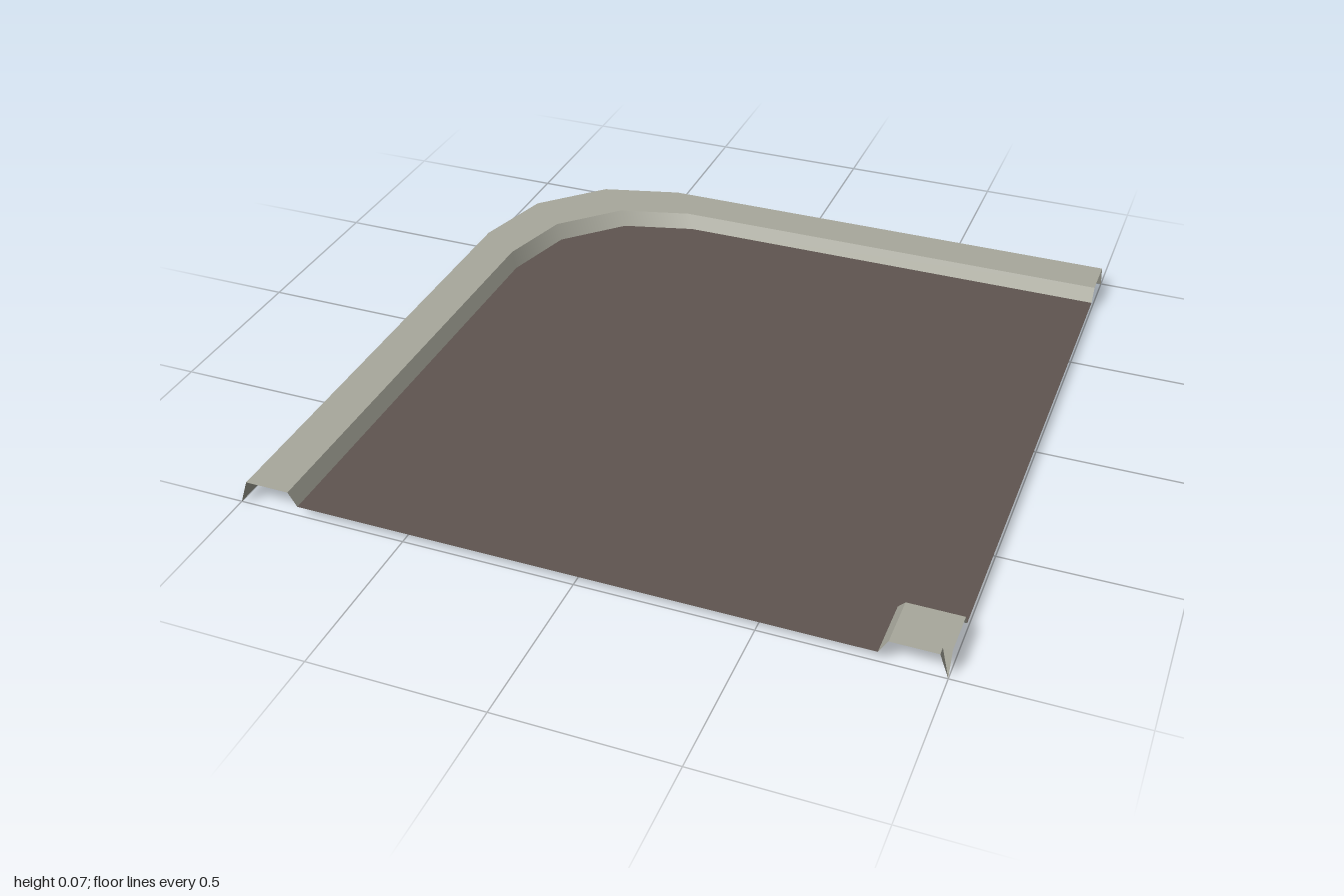
import * as THREE from 'three';

const ROAD_Y = 0.03, TOP_Y = 0.072;
const kerbStone = new THREE.MeshStandardMaterial({ color: 0xa8a89c, side: THREE.DoubleSide });
const asphalt = new THREE.MeshStandardMaterial({ color: 0x5f5550, side: THREE.DoubleSide });
kerbStone.name = 'kerb stone';
asphalt.name = 'asphalt';

// Angles of the faceted bend, from the left run round to the back run
const bend = [0, 1, 2, 3].map(i => i * Math.PI / 6);

// Sheet between two rails; dirs holds the sideways facing at each rail point
function strip(a, b, ya, yb, run, dirs) {
  const pos = [], nor = [], idx = [];
  dirs.forEach(([dx, dz], i) => {
    pos.push(a[i][0], ya, a[i][1], b[i][0], yb, b[i][1]);
    const n = new THREE.Vector3(dx * (yb - ya), run, dz * (yb - ya)).normalize();
    nor.push(...n.toArray(), ...n.toArray());
    if (i) {
      const k = 2 * i - 2;
      idx.push(k, k + 1, k + 2, k + 1, k + 3, k + 2);
    }
  });
  const g = new THREE.BufferGeometry();
  g.setAttribute('position', new THREE.Float32BufferAttribute(pos, 3));
  g.setAttribute('normal', new THREE.Float32BufferAttribute(nor, 3));
  g.setIndex(idx);
  return g;
}

function addMesh(parent, name, geometry, material) {
  const m = new THREE.Mesh(geometry, material);
  m.name = name;
  parent.add(m);
}

// Plan line of the curved kerb for one bend centre and radius
function rail(c, r) {
  return [
    [c - r, 1],
    ...bend.map(t => [c - r * Math.cos(t), c - r * Math.sin(t)]),
    [1, c - r],
  ];
}

export function createModel() {
  const model = new THREE.Group();
  model.name = 'roadCornerTile';
  const faces = ['firstSlope', 'top', 'secondSlope'];

  // Long kerb round the outside of the bend
  const outerKerb = new THREE.Group();
  outerKerb.name = 'outerKerb';
  const levels = [
    [-0.51, 0.49, 0], [-0.485, 0.49, TOP_Y], [-0.395, 0.45, TOP_Y], [-0.37, 0.45, ROAD_Y],
  ];
  const facing = [0, ...bend, Math.PI / 2].map(t => [-Math.cos(t), -Math.sin(t)]);
  faces.forEach((name, i) => {
    const [c0, r0, y0] = levels[i], [c1, r1, y1] = levels[i + 1];
    const run = (c1 - r1) - (c0 - r0);
    addMesh(outerKerb, name, strip(rail(c0, r0), rail(c1, r1), y0, y1, run, facing), kerbStone);
  });
  model.add(outerKerb);

  // Small mitred kerb at the inside corner, two arms
  const innerKerb = new THREE.Group();
  innerKerb.name = 'innerKerb';
  const profile = [[0.82, ROAD_Y], [0.845, TOP_Y], [0.975, TOP_Y], [1, 0]];
  const arms = [
    { name: 'frontArm', line: p => [[p, 1], [p, p]], dir: [-1, 0] },
    { name: 'sideArm', line: p => [[p, p], [1, p]], dir: [0, -1] },
  ];
  for (const { name, line, dir } of arms) {
    faces.forEach((face, i) => {
      const [p0, y0] = profile[i], [p1, y1] = profile[i + 1];
      const g = strip(line(p0), line(p1), y0, y1, p1 - p0, [dir, dir]);
      addMesh(innerKerb, name + face, g, kerbStone);
    });
  }
  model.add(innerKerb);

  // Road surface between the kerbs, notched at the inside corner
  const outline = [...rail(-0.37, 0.45), [1, 0.82], [0.82, 0.82], [0.82, 1]];
  const shape = new THREE.Shape(outline.map(([x, z]) => new THREE.Vector2(x, -z)));
  const road = new THREE.ShapeGeometry(shape).rotateX(-Math.PI / 2).translate(0, ROAD_Y, 0);
  addMesh(model, 'road', road, asphalt);

  return model;
}
